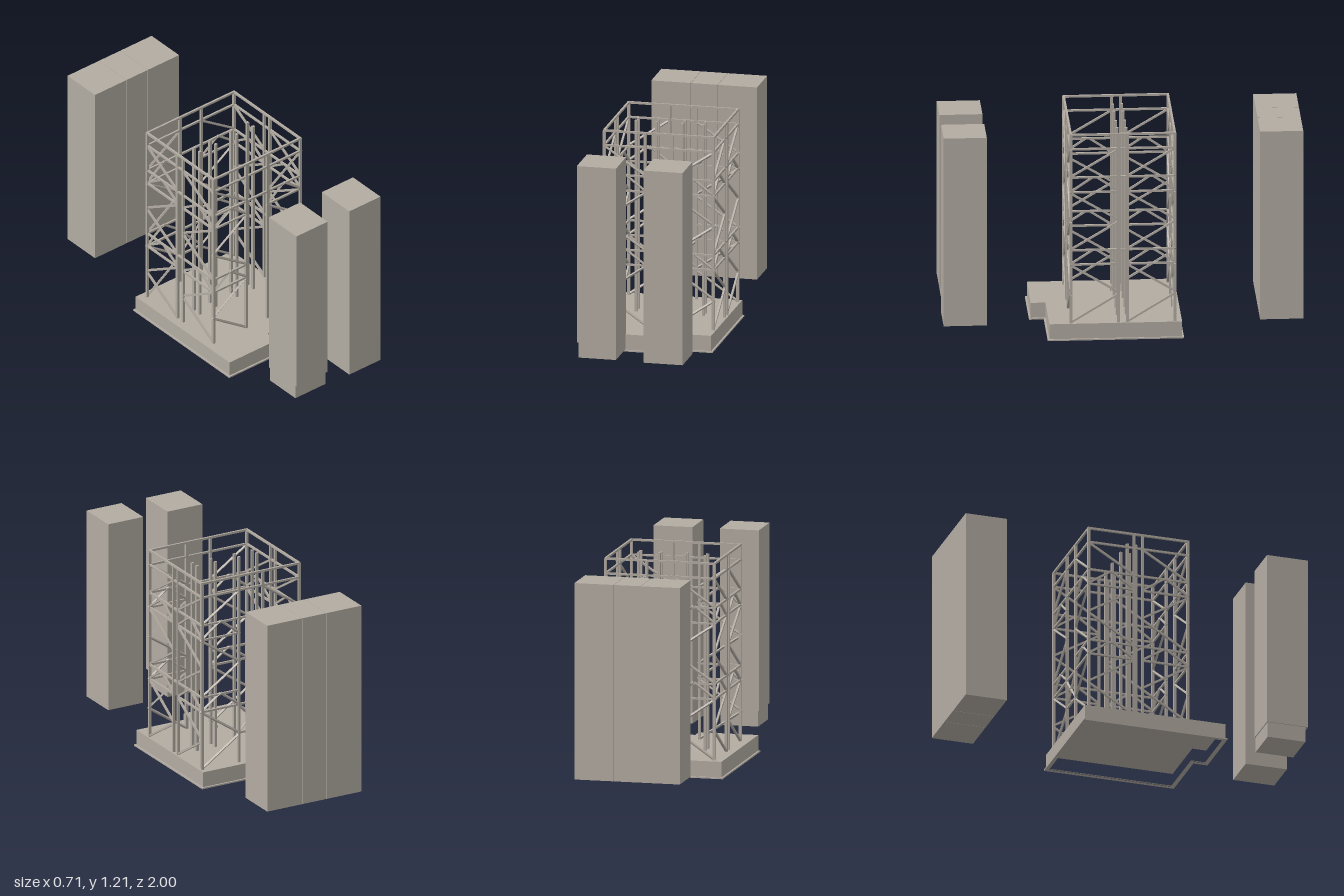
import * as THREE from 'three';

export function createModel() {
  const model = new THREE.Group();
  const stone = new THREE.MeshStandardMaterial({ color: 0xb2aba2 });
  stone.name = 'warmGrey';

  function add(geometry, name, parent = model) {
    const mesh = new THREE.Mesh(geometry, stone);
    mesh.name = name;
    parent.add(mesh);
    return mesh;
  }
  function block(name, x0, x1, y0, y1, z0, z1, parent) {
    const mesh = add(new THREE.BoxGeometry(x1 - x0, y1 - y0, z1 - z0), name, parent);
    mesh.position.set((x0 + x1) / 2, (y0 + y1) / 2, (z0 + z1) / 2);
    return mesh;
  }
  // Square bar between two points, lengthened by "over" at both ends
  function bar(name, a, b, t, parent, over = 0) {
    const p = new THREE.Vector3(...a), q = new THREE.Vector3(...b);
    const d = q.clone().sub(p);
    const mesh = add(new THREE.BoxGeometry(t, t, d.length() + 2 * over), name, parent);
    mesh.position.copy(p).add(q).multiplyScalar(0.5);
    mesh.quaternion.setFromUnitVectors(new THREE.Vector3(0, 0, 1), d.normalize());
    return mesh;
  }

  // Stepped base: hollow underneath, with a flange at the foot
  const outline = (o) => [
    [-0.345 - o, -0.325 - o], [0.345 + o, -0.325 - o], [0.345 + o, 0.413 + o],
    [-0.005 + o, 0.413 + o], [-0.005 + o, 0.495 + o], [-0.345 - o, 0.495 + o],
  ].map(([x, z]) => new THREE.Vector2(x, -z));
  function plate(name, outer, inner, y0, y1) {
    const shape = new THREE.Shape(outline(outer));
    if (inner !== null) shape.holes.push(new THREE.Path(outline(inner)));
    const g = new THREE.ExtrudeGeometry(shape, { depth: y1 - y0, bevelEnabled: false });
    add(g.rotateX(-Math.PI / 2).translate(0, y0, 0), name);
  }
  plate('baseFlange', 0.01, -0.012, 0, 0.008);
  plate('baseWall', 0, -0.01, 0.008, 0.085);
  plate('baseDeck', 0, null, 0.085, 0.096);

  // Free-standing tower blocks in front and behind
  block('frontTowerUpper', -0.28, -0.056, 0.18, 1.2, 0.76, 1);
  block('frontTowerFoot', -0.275, -0.06, 0.09, 0.18, 0.765, 0.985);
  block('frontTower', 0.1, 0.324, 0.09, 1.2, 0.76, 1);
  for (const [x0, x1] of [[-0.28, -0.056], [-0.054, 0.098], [0.1, 0.324]]) {
    block('backTower', x0, x1, 0.09, 1.2, -1, -0.76);
  }

  // Open steel frame
  const frame = new THREE.Group();
  frame.name = 'steelFrame';
  model.add(frame);
  const L = -0.294, R = 0.329, F = 0.293, B = -0.286;
  const P = 0.015, T = 0.011, deck = 0.096, top = 1.206;
  const xs = [-0.06, 0.093], zs = [0.028, -0.022];
  const levels = [0.44, 0.525, 0.867, 0.955, 1.122];

  const post = (name, x, z, h = top) => bar(name, [x, deck, z], [x, h, z], P, frame);
  for (const x of [L, R]) for (const z of [F, B, ...zs]) post('framePost', x, z);
  for (const z of [F, B]) for (const x of xs) post('framePost', x, z);
  // Inner columns
  for (const x of [-0.175, -0.06, 0.09, 0.208]) {
    for (const z of zs) post('innerColumn', x, z, 1.2);
  }

  // One braced bay running from u0 to u1; K braces point towards u1
  function bay(at, u0, u1, over) {
    const brace = (ua, ya, ub, yb, name = 'brace') => bar(name, at(ua, ya), at(ub, yb), T, frame, over);
    for (const y of levels) bar('bayRail', at(u0, y), at(u1, y), T, frame);
    const mid = (u0 + u1) / 2, gap = (u1 - u0) * 0.04;
    for (const [low, high] of [[deck + 0.004, 0.435], [0.53, 0.86]]) {
      const y = (low + high) / 2;
      brace(u0, low, u1, y - 0.006, 'kBrace');
      brace(u0, high, u1, y + 0.006, 'kBrace');
    }
    for (const [low, high] of [[0.445, 0.525], [0.872, 0.955]]) {
      brace(u0, low, mid - gap, high, 'chevronBrace');
      brace(u1, low, mid + gap, high, 'chevronBrace');
    }
    brace(u0, 0.96, u1, 1.118, 'topBrace');
  }

  // Side walls: two bays each, with the narrow gap bridged by rails
  for (const x of [L, R]) {
    const at = (u, y) => [x, y, u];
    bay(at, F, zs[0], 0.003);
    bay(at, zs[1], B, 0.003);
    for (const y of [0.525, 0.955, 1.122]) bar('bridgeRail', at(zs[0], y), at(zs[1], y), T, frame);
    bar('topRail', at(F + 0.006, top), at(B - 0.006, top), 0.012, frame);
  }
  // Front and back walls: braced outer bays and an open middle bay
  for (const z of [F, B]) {
    const at = (u, y) => [u, y, z];
    if (z === F) {
      bay(at, xs[0], L, 0.01);
      bay(at, xs[1], R, 0.01);
    } else {
      bay(at, L, xs[0], 0.01);
      bay(at, R, xs[1], 0.01);
    }
    for (const y of [0.955, 1.122]) bar('middleRail', at(xs[0], y), at(xs[1], y), T, frame);
    bar('topRail', at(L - 0.006, top), at(R + 0.006, top), 0.012, frame);
  }
  // Crossed braces low in the back middle bay
  for (const y of [0.272, 0.44]) bar('crossRail', [xs[0], y, B], [xs[1], y, B], T, frame);
  bar('crossBrace', [xs[0], 0.276, B], [xs[1], 0.436, B], T, frame);
  bar('crossBrace', [xs[0], 0.436, B], [xs[1], 0.276, B], T, frame);

  // Small loose fitting inside the frame
  block('smallFitting', 0.033, 0.038, 0.173, 0.186, 0.05, 0.056);
  return model;
}
